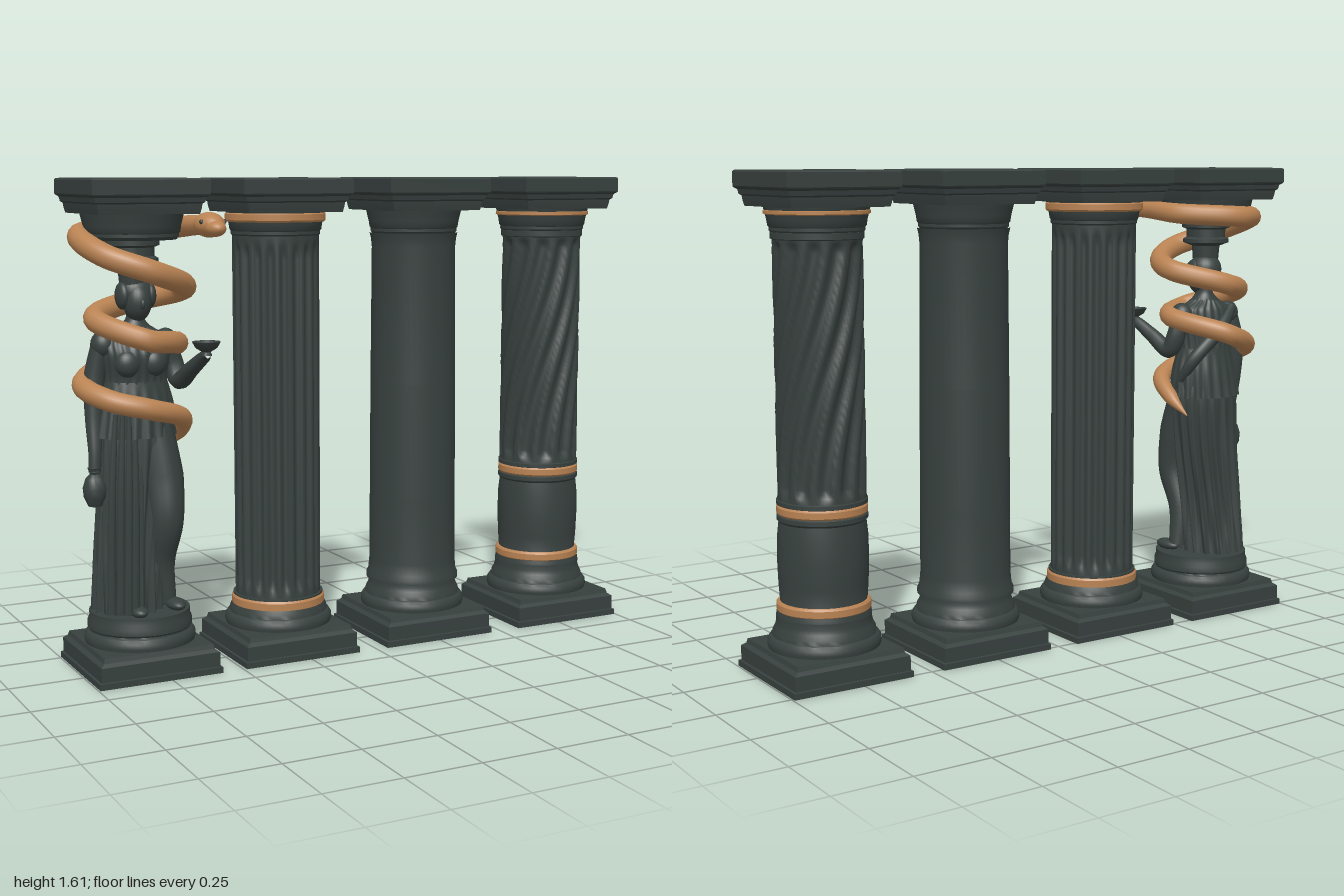
import * as THREE from 'three';
import { toCreasedNormals } from 'three/addons/utils/BufferGeometryUtils.js';

const stone = new THREE.MeshStandardMaterial({ color: 0x38413f });
stone.name = 'dark stone';
const gold = new THREE.MeshStandardMaterial({ color: 0xb98353 });
gold.name = 'bronze gold';

const V = (p) => new THREE.Vector3(...p);
const smooth = THREE.MathUtils.smoothstep;

function add(parent, name, geometry, material = stone, pos = [0, 0, 0], scale = [1, 1, 1]) {
  const mesh = new THREE.Mesh(geometry, material);
  mesh.name = name;
  mesh.position.set(...pos);
  mesh.scale.set(...scale);
  parent.add(mesh);
  return mesh;
}

// Turned part from [radius, y] pairs, bottom to top
const turned = (pts, sides = 48) =>
  toCreasedNormals(new THREE.LatheGeometry(pts.map((p) => new THREE.Vector2(...p)), sides), 0.6);

// Square moulding from [half width, y] pairs
const square = (pts) => toCreasedNormals(new THREE.LatheGeometry(
  pts.map(([w, y]) => new THREE.Vector2(w * Math.SQRT2, y)), 4, Math.PI / 4), 0.4);

// Closed-round surface; fn(angle, v) gives [x, y, z], v runs upward
function surface(fn, nu, nv) {
  const pos = [], idx = [];
  for (let j = 0; j <= nv; j++)
    for (let i = 0; i < nu; i++) pos.push(...fn((i / nu) * Math.PI * 2, j / nv));
  for (let j = 0; j < nv; j++)
    for (let i = 0; i < nu; i++) {
      const a = j * nu + i, b = j * nu + ((i + 1) % nu);
      idx.push(a, b, a + nu, b, b + nu, a + nu);
    }
  const g = new THREE.BufferGeometry();
  g.setAttribute('position', new THREE.Float32BufferAttribute(pos, 3));
  g.setIndex(idx);
  g.computeVertexNormals();
  return g;
}

// Body form through oval sections [y, cx, cz, rx, rz] with folds
function loft(keys, fold = () => 0, nu = 96, nv = 40) {
  const mid = new THREE.CatmullRomCurve3(keys.map(([y, x, z]) => V([x, y, z])));
  const size = new THREE.CatmullRomCurve3(keys.map(([y, , , rx, rz]) => V([rx, rz, y])));
  return surface((a, v) => {
    const c = mid.getPoint(v), s = size.getPoint(v), f = fold(a, v);
    return [c.x + (s.x + f) * Math.sin(a), c.y, c.z + (s.y + f) * Math.cos(a)];
  }, nu, nv);
}

// Tube with a radius for each control point
function limb(points, radii, segs = 30, sides = 14) {
  const curve = new THREE.CatmullRomCurve3(points.map(V));
  const g = new THREE.TubeGeometry(curve, segs, 1, sides);
  const p = g.attributes.position, v = new THREE.Vector3();
  for (let i = 0; i <= segs; i++) {
    const u = i / segs, c = curve.getPointAt(u);
    const t = curve.getUtoTmapping(u) * (radii.length - 1);
    const k = Math.min(Math.floor(t), radii.length - 2);
    const r = THREE.MathUtils.lerp(radii[k], radii[k + 1], t - k);
    for (let j = 0; j <= sides; j++) {
      const n = i * (sides + 1) + j;
      v.fromBufferAttribute(p, n).sub(c).multiplyScalar(r).add(c);
      p.setXYZ(n, v.x, v.y, v.z);
    }
  }
  return g;
}

// Shaft with scooped flutes and an optional easing twist
const fluted = (r, y0, y1, count, depth, twist) => surface((a, v) => {
  const y = y0 + (y1 - y0) * v;
  const ends = smooth(v, 0.015, 0.05) * (1 - smooth(v, 0.95, 0.985));
  const scoop = Math.max(0, Math.sin((a - twist * smooth(v, 0.02, 1.1)) * count) + 0.45) / 1.45;
  const rr = r - depth * ends * Math.pow(scoop, 0.6);
  return [rr * Math.sin(a), y, rr * Math.cos(a)];
}, count * 10, 64);

const band = (parent, name, y0, y1, r) => {
  const h = (y1 - y0) / 5, b = r - 0.02;
  add(parent, name, turned([[b, y0], [r - 0.006, y0], [r, y0 + h], [r, y1 - h], [r - 0.006, y1], [b, y1]]), gold);
};

// Base and capital shared by all four columns
function pillar(root, name, x) {
  const g = new THREE.Group();
  g.name = name;
  g.position.set(x, 0, -0.053);
  root.add(g);
  add(g, 'plinth', square([[0, 0], [0.21, 0], [0.21, 0.02], [0.203, 0.022], [0.203, 0.07],
    [0.19, 0.08], [0.186, 0.095], [0, 0.095]]));
  add(g, 'roundBase', turned([[0.18, 0.09], [0.184, 0.105], [0.183, 0.12], [0.175, 0.132], [0.168, 0.135],
    [0.166, 0.15], [0.158, 0.165], [0.154, 0.18], [0.154, 0.2], [0, 0.205]]));
  add(g, 'capitalBell', turned([[0, 1.415], [0.142, 1.415], [0.15, 1.425], [0.15, 1.435], [0.154, 1.44],
    [0.157, 1.46], [0.162, 1.48], [0.168, 1.505]]));
  add(g, 'abacus', square([[0, 1.498], [0.168, 1.498], [0.172, 1.515], [0.174, 1.53], [0.181, 1.535],
    [0.184, 1.55], [0.193, 1.556], [0.195, 1.56], [0.195, 1.605], [0.19, 1.61], [0, 1.61]]));
  return g;
}

function buildStatue(g) {
  add(g, 'statueBase', turned([[0.16, 0.13], [0.172, 0.145], [0.172, 0.165], [0.166, 0.18], [0.166, 0.2], [0, 0.203]]));
  add(g, 'skirt', loft([[0.2, -0.035, -0.015, 0.11, 0.115], [0.4, -0.027, -0.005, 0.112, 0.1],
    [0.6, -0.01, 0, 0.122, 0.095], [0.78, 0, 0, 0.13, 0.095], [0.9, 0, 0, 0.11, 0.08]],
  (a, v) => (1 - smooth(v, 0.3, 1)) * (0.009 * Math.sin(a * 17 + 2 * Math.sin(v * 3)) + 0.004 * Math.sin(a * 31)), 160));
  add(g, 'overfold', loft([[0.78, -0.005, 0, 0.137, 0.103], [0.88, 0, 0, 0.125, 0.092], [0.96, 0, 0, 0.106, 0.076]],
    (a, v) => (1 - v) * 0.006 * Math.sin(a * 19), 120, 14));
  add(g, 'torso', loft([[0.86, 0, 0, 0.12, 0.085], [0.96, 0, 0, 0.104, 0.075], [1.05, 0, 0.008, 0.113, 0.078],
    [1.1, 0, 0, 0.11, 0.06], [1.13, 0, 0, 0.06, 0.045], [1.16, 0.003, 0, 0.03, 0.033], [1.2, 0.005, 0, 0.028, 0.03]],
  (a, v) => (v < 0.7 ? 0.003 * Math.sin(a * 22) : 0)));
  const ball = new THREE.SphereGeometry(1, 24, 16);
  for (const s of [-1, 1]) {
    add(g, 'chest', ball, stone, [s * 0.045, 1.02, 0.06], [0.042, 0.045, 0.035]);
    add(g, 'shoulder', ball, stone, [s * 0.107, 1.08, 0], [0.04, 0.045, 0.042]);
    add(g, 'hairSide', ball, stone, [0.005 + s * 0.045, 1.235, 0.005], [0.022, 0.045, 0.04]);
  }
  // Bent leg and feet
  add(g, 'bentLeg', limb([[0.055, 0.8, 0.03], [0.068, 0.64, 0.06], [0.07, 0.5, 0.08], [0.065, 0.36, 0.04],
    [0.085, 0.22, 0.035]], [0.06, 0.068, 0.056, 0.045, 0.03]));
  add(g, 'leftFoot', ball, stone, [0.1, 0.215, 0.07], [0.03, 0.02, 0.055]);
  add(g, 'rightFoot', ball, stone, [-0.04, 0.213, 0.11], [0.028, 0.018, 0.04]);
  // Hanging cloth strips
  for (let i = 0; i < 6; i++) {
    const x = -0.115 + i * 0.024, z = 0.06 + 0.05 * Math.sin((i + 1) * 0.5);
    add(g, 'drapeFold', limb([[x * 0.8, 0.86, z * 0.8], [x, 0.6, z], [x - 0.01, 0.21, z]], [0.008, 0.013, 0.016], 14, 8));
  }
  add(g, 'shawl', limb([[-0.1, 1.1, -0.03], [0, 1.02, -0.075], [0.1, 0.92, -0.06], [0.12, 0.8, 0.02]],
    [0.02, 0.026, 0.024, 0.012]));
  // Head and hair
  add(g, 'head', ball, stone, [0.006, 1.215, 0.018], [0.046, 0.064, 0.052]);
  add(g, 'nose', ball, stone, [0.006, 1.21, 0.07], [0.008, 0.016, 0.01]);
  add(g, 'hair', ball, stone, [0.006, 1.245, -0.005], [0.06, 0.057, 0.06]);
  add(g, 'hairBun', ball, stone, [0.006, 1.21, -0.065], [0.034, 0.032, 0.03]);
  add(g, 'headRest', turned([[0.045, 1.27], [0.05, 1.33], [0.082, 1.342], [0.082, 1.355], [0.07, 1.362], [0.07, 1.39],
    [0.087, 1.397], [0.087, 1.42]]));
  // Lowered arm with jug
  add(g, 'rightArm', limb([[-0.11, 1.1, 0], [-0.135, 0.97, -0.01], [-0.143, 0.84, 0], [-0.148, 0.73, 0.02],
    [-0.152, 0.67, 0.025]], [0.03, 0.035, 0.028, 0.021, 0.02]));
  add(g, 'jug', turned([[0, 0.56], [0.022, 0.56], [0.036, 0.59], [0.039, 0.62], [0.03, 0.65], [0.015, 0.665],
    [0.022, 0.685], [0, 0.685]], 24), stone, [-0.153, 0, 0.025]);
  // Raised arm with bowl
  add(g, 'leftArm', limb([[0.11, 1.1, 0], [0.135, 1.0, 0], [0.143, 0.955, 0.025], [0.155, 1.0, 0.11],
    [0.17, 1.045, 0.185], [0.17, 1.05, 0.21]], [0.03, 0.034, 0.032, 0.026, 0.02, 0.008]));
  add(g, 'bowl', turned([[0, 1.05], [0.018, 1.05], [0.014, 1.062], [0.035, 1.075], [0.046, 1.095], [0.04, 1.095],
    [0.025, 1.08], [0, 1.075]], 24), stone, [0.17, 0, 0.2]);
}

function buildSnake(g) {
  add(g, 'snakeBody', limb([[0.175, 1.46, 0.22], [0.182, 1.46, 0.1], [0.17, 1.45, -0.06], [0.0, 1.44, -0.178],
    [-0.165, 1.425, -0.04], [-0.13, 1.37, 0.11], [0.0, 1.32, 0.178], [0.13, 1.275, 0.1], [0.165, 1.245, -0.02],
    [0.02, 1.2, -0.14], [-0.125, 1.16, -0.02], [0.0, 1.1, 0.125], [0.14, 1.075, 0.02], [0.02, 1.02, -0.165],
    [-0.17, 0.95, -0.02], [-0.12, 0.91, 0.1], [0.0, 0.88, 0.145], [0.125, 0.84, 0.09], [0.15, 0.78, 0.0], [0.125, 0.72, -0.06]],
  [0.026, 0.032, 0.036, 0.037, 0.038, 0.038, 0.038, 0.038, 0.038, 0.037, 0.037, 0.036, 0.036, 0.036, 0.036, 0.035,
    0.034, 0.032, 0.026, 0.002], 260, 14), gold);
  const ball = new THREE.SphereGeometry(1, 24, 16);
  add(g, 'snakeHead', ball, gold, [0.175, 1.465, 0.225], [0.047, 0.04, 0.07]);
  add(g, 'snakeSnout', ball, gold, [0.175, 1.455, 0.275], [0.032, 0.026, 0.045]);
  for (const s of [-1, 1]) add(g, 'snakeEye', ball, stone, [0.175 + s * 0.038, 1.475, 0.255], [0.007, 0.008, 0.009]);
}

export function createModel() {
  const root = new THREE.Group();
  root.name = 'columnSet';

  const statue = pillar(root, 'statueColumn', -0.785);
  buildStatue(statue);
  buildSnake(statue);

  const flute = pillar(root, 'flutedColumn', -0.28);
  add(flute, 'flutedShaft', fluted(0.146, 0.19, 1.42, 20, 0.013, 0));
  band(flute, 'lowerBand', 0.155, 0.195, 0.159);
  band(flute, 'upperBand', 1.465, 1.498, 0.169);

  const plain = pillar(root, 'plainColumn', 0.25);
  add(plain, 'plainShaft', turned([[0.164, 0.19], [0.164, 0.205], [0.157, 0.22], [0.153, 0.26], [0.152, 0.5],
    [0.15, 0.9], [0.146, 1.37], [0.149, 1.4], [0.154, 1.42]]));

  const spiral = pillar(root, 'spiralColumn', 0.785);
  add(spiral, 'lowerDrum', turned([[0.154, 0.19], [0.152, 0.21], [0.14, 0.245], [0.144, 0.3], [0.147, 0.38], [0.145, 0.46],
    [0.14, 0.505], [0.146, 0.512], [0.146, 0.526], [0.14, 0.53], [0.14, 0.56], [0.146, 0.562], [0.146, 0.575], [0.138, 0.58]]));
  add(spiral, 'spiralShaft', fluted(0.142, 0.57, 1.41, 12, 0.016, 1.5));
  add(spiral, 'shaftCollar', turned([[0.138, 1.395], [0.147, 1.4], [0.147, 1.42], [0.14, 1.425]]));
  band(spiral, 'lowerBand', 0.212, 0.247, 0.152);
  band(spiral, 'middleBand', 0.528, 0.561, 0.146);
  band(spiral, 'upperBand', 1.474, 1.49, 0.167);
  return root;
}
